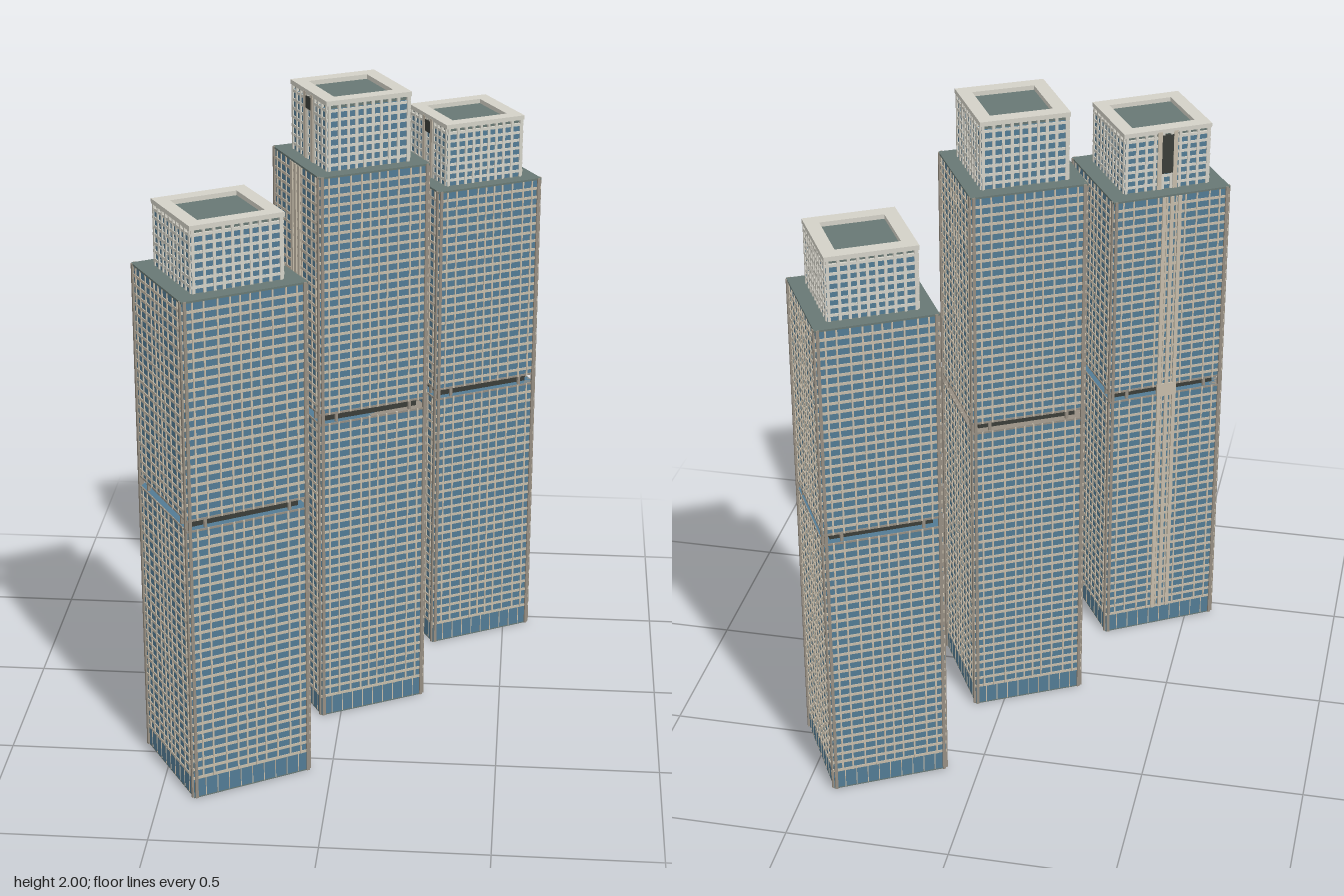
import * as THREE from 'three';
import { mergeGeometries } from 'three/addons/utils/BufferGeometryUtils.js';

const mat = (name, color) => Object.assign(new THREE.MeshStandardMaterial({ color }), { name });

export function createModel() {
  const glass = mat('blue glass', 0x527b94);
  const stone = mat('beige stone', 0xc6bcaa);
  const pier = mat('taupe pier', 0x968e82);
  const cap = mat('pale parapet', 0xd3d1c7);
  const roof = mat('grey green roof', 0x687874);
  const dark = mat('dark recess', 0x3a3d38);

  // box given by its bottom height
  const box = (w, h, d, x, y, z) => new THREE.BoxGeometry(w, h, d).translate(x, y + h / 2, z);
  const add = (group, name, material, boxes) => {
    const mesh = new THREE.Mesh(mergeGeometries(boxes), material);
    mesh.name = name;
    group.add(mesh);
  };

  // upright bar on side k (0 front, 1 right, 2 back, 3 left) of a w by d block
  const bar = (k, w, d, u, y0, y1, width, out) => {
    const reach = (k % 2 ? w : d) / 2;
    return box(width, y1 - y0, out + 0.004, u, y0, reach + (out - 0.004) / 2)
      .rotateY(k * Math.PI / 2);
  };
  // bars at the given fractions of the face width, on all four sides
  const bars = (w, d, fractions, y0, y1, width, out) => {
    const list = [];
    for (let k = 0; k < 4; k++)
      for (const f of fractions) list.push(bar(k, w, d, f * (k % 2 ? d : w), y0, y1, width, out));
    return list;
  };
  // floor bands running round a block
  const bands = (w, d, y0, y1, count, height, out) => {
    const list = [];
    for (let i = 0; i < count; i++) {
      const y = y0 + (y1 - y0) * i / count;
      list.push(box(w + 2 * out, height, d + 2 * out, 0, y, 0));
    }
    return list;
  };

  const mullions = [-0.42, -0.33, -0.22, -0.12, -0.04, 0.04, 0.12, 0.22, 0.33, 0.42];
  const baseMullions = [-0.4, -0.3, -0.2, -0.1, 0, 0.1, 0.2, 0.3, 0.4];
  const crownMullions = [-0.48, -0.36, -0.25, -0.15, -0.05, 0.05, 0.15, 0.25, 0.36, 0.48];

  function tower(name, { x, z, angle, w, d, h, top, belt, cw, cd, shaft, slot }) {
    const g = new THREE.Group();
    g.name = name;
    const baseTop = 0.065, b0 = belt - 0.014, b1 = belt + 0.014;

    // glazed body, split by the open refuge floor
    add(g, 'glassBody', glass, [
      box(w, b0 - 0.004, d, 0, 0.004, 0),
      box(w, h - 0.006 - b1, d, 0, b1, 0),
    ]);
    add(g, 'underside', roof, [box(w, 0.004, d, 0, 0, 0)]);
    add(g, 'mainRoof', roof, [box(w + 0.006, 0.006, d + 0.006, 0, h - 0.006, 0)]);
    add(g, 'refugeCore', dark, [box(w - 0.044, b1 - b0, d - 0.044, 0, b0, 0)]);
    add(g, 'refugeEdges', pier, [
      box(w + 0.006, 0.006, d + 0.006, 0, b0 - 0.006, 0),
      box(w + 0.006, 0.006, d + 0.006, 0, b1, 0),
      ...bars(w - 0.012, d - 0.012, [-0.36, 0.36], b0, b1, 0.009, 0.004),
    ]);

    // floor bands and mullions of the lower and upper shafts
    const pitch = 0.0304;
    add(g, 'floorBands', stone, [
      ...bands(w, d, baseTop, b0 - 0.006, Math.round((b0 - baseTop) / pitch), 0.0085, 0.0025),
      ...bands(w, d, b1 + 0.02, h - 0.008, Math.round((h - b1) / pitch), 0.0085, 0.0025),
    ]);
    add(g, 'mullions', stone, [
      ...bars(w, d, mullions, baseTop, b0, 0.005, 0.0035),
      ...bars(w, d, mullions, b1, h - 0.006, 0.005, 0.0035),
      ...bars(w, d, baseMullions, 0.004, baseTop, 0.0025, 0.0015),
    ]);
    add(g, 'cornerPiers', pier, bars(w, d, [-0.482, 0.482], 0.002, h, 0.009, 0.006));

    // crown with its grid and a sunken roof inside the parapet
    const rim = 0.042, ct = top - 0.008;
    add(g, 'crownGlass', glass, [box(cw, ct - 0.018 - h, cd, 0, h, 0)]);
    add(g, 'crownGrid', cap, [
      ...bands(cw, cd, h + 0.014, ct, 7, 0.0085, 0.003),
      ...bars(cw, cd, crownMullions, h, ct, 0.0085, 0.004),
    ]);
    add(g, 'crownRoof', roof, [box(cw - 0.01, 0.012, cd - 0.01, 0, ct - 0.018, 0)]);
    const ow = cw + 0.01, od = cd + 0.01, drop = top - ct + 0.006;
    add(g, 'parapet', cap, [1, -1].flatMap((s) => [
      box(ow, drop, rim, 0, top - drop, s * (od - rim) / 2),
      box(rim, drop, od - 2 * rim, s * (ow - rim) / 2, top - drop, 0),
    ]));

    // service shaft up the middle of one side, ending in a slot in the crown
    add(g, 'serviceShaft', stone, [
      ...[-0.026, 0, 0.026].map((u) => bar(shaft, w, d, u, baseTop, h - 0.006, 0.012, 0.006)),
      bar(shaft, w, d, 0, b0 - 0.008, b1 + 0.008, 0.066, 0.006),
      ...[-0.026, 0.026].map((u) => bar(shaft, cw, cd, u, h, ct, 0.014, 0.006)),
    ]);
    add(g, 'crownSlot', dark, [bar(shaft, cw, cd, 0, ct - slot, ct - 0.012, 0.038, 0.005)]);

    g.position.set(x, 0, z);
    g.rotation.y = THREE.MathUtils.degToRad(angle);
    return g;
  }

  const model = new THREE.Group();
  model.name = 'threeTowers';
  model.add(
    tower('backTower', { x: 0.341, z: -0.526, angle: 28.9, w: 0.356, d: 0.346, h: 1.585, top: 1.785,
      belt: 0.9, cw: 0.264, cd: 0.26, shaft: 3, slot: 0.05 }),
    tower('middleTower', { x: 0.013, z: -0.003, angle: 28.4, w: 0.352, d: 0.35, h: 1.787, top: 2,
      belt: 1.02, cw: 0.264, cd: 0.262, shaft: 3, slot: 0.05 }),
    tower('frontTower', { x: -0.324, z: 0.507, angle: 30.8, w: 0.382, d: 0.366, h: 1.585, top: 1.785,
      belt: 0.9, cw: 0.28, cd: 0.27, shaft: 2, slot: 0.14 }),
  );
  return model;
}
